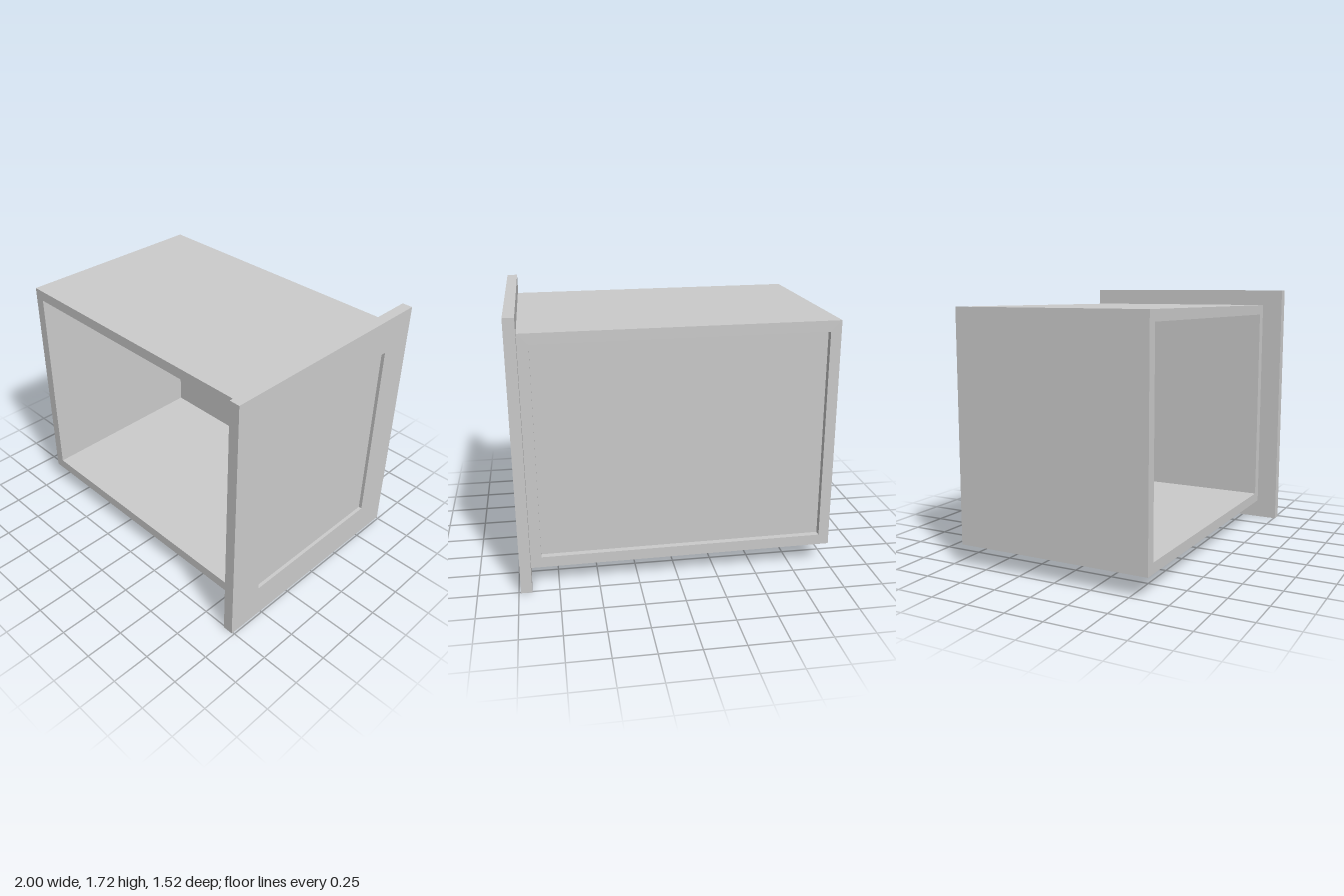
import * as THREE from 'three';

const material = new THREE.MeshStandardMaterial({ color: 0xcccccc, flatShading: true });

function add(parent, name, geometry, x = 0, y = 0, z = 0) {
  const mesh = new THREE.Mesh(geometry, material);
  mesh.name = name;
  mesh.position.set(x, y, z);
  parent.add(mesh);
  return mesh;
}

// Rectangle centred on the origin, written onto a Shape or Path
function rect(path, w, h) {
  path.moveTo(-w / 2, -h / 2);
  path.lineTo(w / 2, -h / 2);
  path.lineTo(w / 2, h / 2);
  path.lineTo(-w / 2, h / 2);
  path.closePath();
  return path;
}

// Rectangular frame with a rectangular opening, extruded from z = 0 to depth
function frame(w, h, innerW, innerH, depth) {
  const shape = rect(new THREE.Shape(), w, h);
  shape.holes.push(rect(new THREE.Path(), innerW, innerH));
  return new THREE.ExtrudeGeometry(shape, { depth, bevelEnabled: false });
}

export function createModel() {
  const model = new THREE.Group();
  model.name = 'cabinet';

  // Whole unit leans very slightly sideways about its middle
  const unit = new THREE.Group();
  unit.name = 'tiltedUnit';
  unit.position.set(0, 0.862, 0);
  unit.rotation.z = -0.0072;
  model.add(unit);

  // Carcass: four walls open at the front, with an inset back panel
  const carcass = new THREE.Group();
  carcass.name = 'carcass';
  carcass.position.set(-0.035, 0.008, 0);
  unit.add(carcass);
  add(carcass, 'walls', frame(1.92, 1.483, 1.786, 1.347, 1.3), 0, 0, -0.68);
  add(carcass, 'backPanel', new THREE.BoxGeometry(1.786, 1.347, 0.04), 0, 0, -0.62);

  // Front board on the side: flat frame around a shallow recessed panel
  const board = new THREE.Group();
  board.name = 'sideBoard';
  board.position.set(0.925, 0, 0);
  board.rotation.y = Math.PI / 2;
  unit.add(board);
  add(board, 'boardFrame', frame(1.52, 1.715, 1.06, 1.26, 0.068));
  add(board, 'boardPanel', new THREE.BoxGeometry(1.06, 1.26, 0.046), 0, 0, 0.023);

  return model;
}
